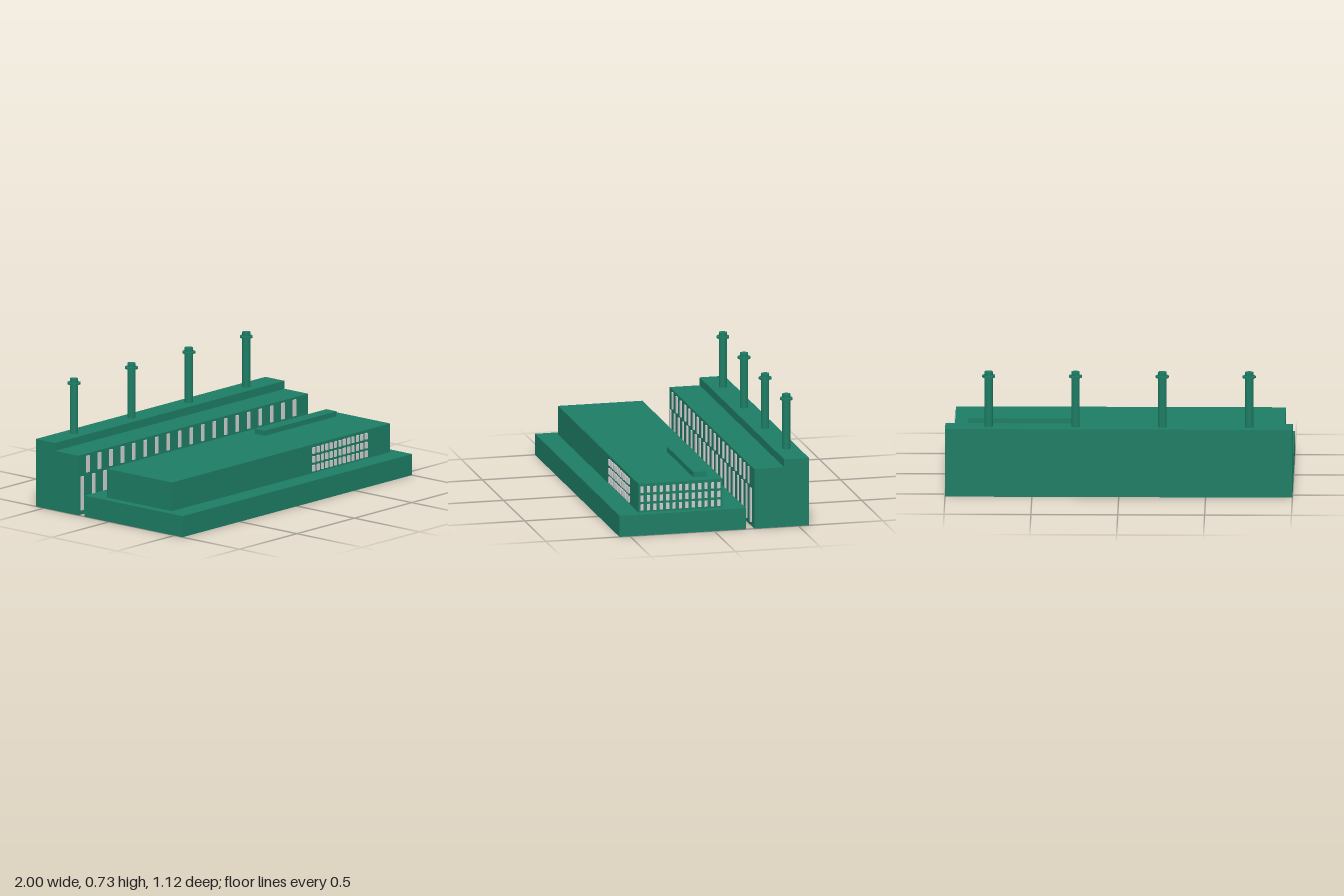
import * as THREE from 'three';

const green = new THREE.MeshStandardMaterial({ color: 0x1c7c64, flatShading: true });
const grey = new THREE.MeshStandardMaterial({ color: 0xcccccc, flatShading: true });

// Box given by its limits on each axis
function block(name, [x0, x1], [y0, y1], [z0, z1], material = green) {
  const mesh = new THREE.Mesh(new THREE.BoxGeometry(x1 - x0, y1 - y0, z1 - z0), material);
  mesh.position.set((x0 + x1) / 2, (y0 + y1) / 2, (z0 + z1) / 2);
  mesh.name = name;
  return mesh;
}

// Grid of window panes on a wall facing z, centred on the group's origin plane
function windowGrid(name, { start, step, count, width, rows, depth }) {
  const group = new THREE.Group();
  group.name = name;
  for (const [y0, y1] of rows) {
    for (let i = 0; i < count; i++) {
      const x = start + i * step;
      group.add(block('window', [x - width / 2, x + width / 2], [y0, y1], [-depth, depth], grey));
    }
  }
  return group;
}

function chimney(x) {
  const group = new THREE.Group();
  group.name = 'chimney';
  const shaft = new THREE.Mesh(new THREE.CylinderGeometry(0.024, 0.024, 0.325, 12), green);
  shaft.position.y = 0.5625;
  shaft.name = 'chimneyShaft';
  const collar = new THREE.Mesh(new THREE.CylinderGeometry(0.038, 0.038, 0.011, 12), green);
  collar.position.y = 0.697;
  collar.name = 'chimneyCollar';
  group.add(shaft, collar);
  group.position.set(x, 0, -0.49);
  return group;
}

export function createModel() {
  const model = new THREE.Group();
  model.name = 'factory';

  // Front building: plinth, upper storeys and rooftop unit
  model.add(
    block('plinth', [-1, 1], [0, 0.125], [-0.1875, 0.5625]),
    block('upperStoreys', [-0.95, 0.95], [0.125, 0.295], [-0.0625, 0.4375]),
    block('rooftopUnit', [0.25, 0.875], [0.295, 0.325], [0.015, 0.093]),
  );

  // Rear hall: stepped section extruded along x
  const section = new THREE.Shape([
    [0.2375, 0], [0.5625, 0], [0.5625, 0.4], [0.415, 0.4], [0.415, 0.353], [0.2375, 0.353],
  ].map(([z, y]) => new THREE.Vector2(z, y)));
  const hallGeometry = new THREE.ExtrudeGeometry(section, { depth: 2, bevelEnabled: false });
  hallGeometry.rotateY(Math.PI / 2).translate(-1, 0, 0);
  const hall = new THREE.Mesh(hallGeometry, green);
  hall.name = 'rearHall';
  model.add(hall);

  // Three-row windows on the front, back and left walls of the upper storeys
  const rows = [[0.136, 0.173], [0.188, 0.225], [0.241, 0.278]];
  const grid = { step: 0.038, count: 13, width: 0.018, rows, depth: 0.008 };
  const front = windowGrid('frontWindows', { ...grid, start: 0.28 });
  front.position.z = 0.4385;
  const back = windowGrid('backWindows', { ...grid, start: -0.915 });
  back.position.z = -0.0625;
  const side = windowGrid('leftWindows', { ...grid, start: -0.417 });
  side.rotation.y = Math.PI / 2;
  side.position.x = 0.947;
  model.add(front, back, side);

  // Staggered tall and short windows along the hall's front wall
  const hallRow = { step: 0.1, width: 0.024, depth: 0.008 };
  const tall = windowGrid('tallHallWindows', { ...hallRow, start: -0.97, count: 20, rows: [[0.026, 0.226]] });
  const short = windowGrid('shortHallWindows', { ...hallRow, start: -0.92, count: 19, rows: [[0.243, 0.34]] });
  tall.position.z = short.position.z = -0.2375;
  model.add(tall, short);

  // Row of chimneys on the raised part of the hall
  for (const x of [-0.75, -0.25, 0.25, 0.75]) model.add(chimney(x));

  return model;
}
